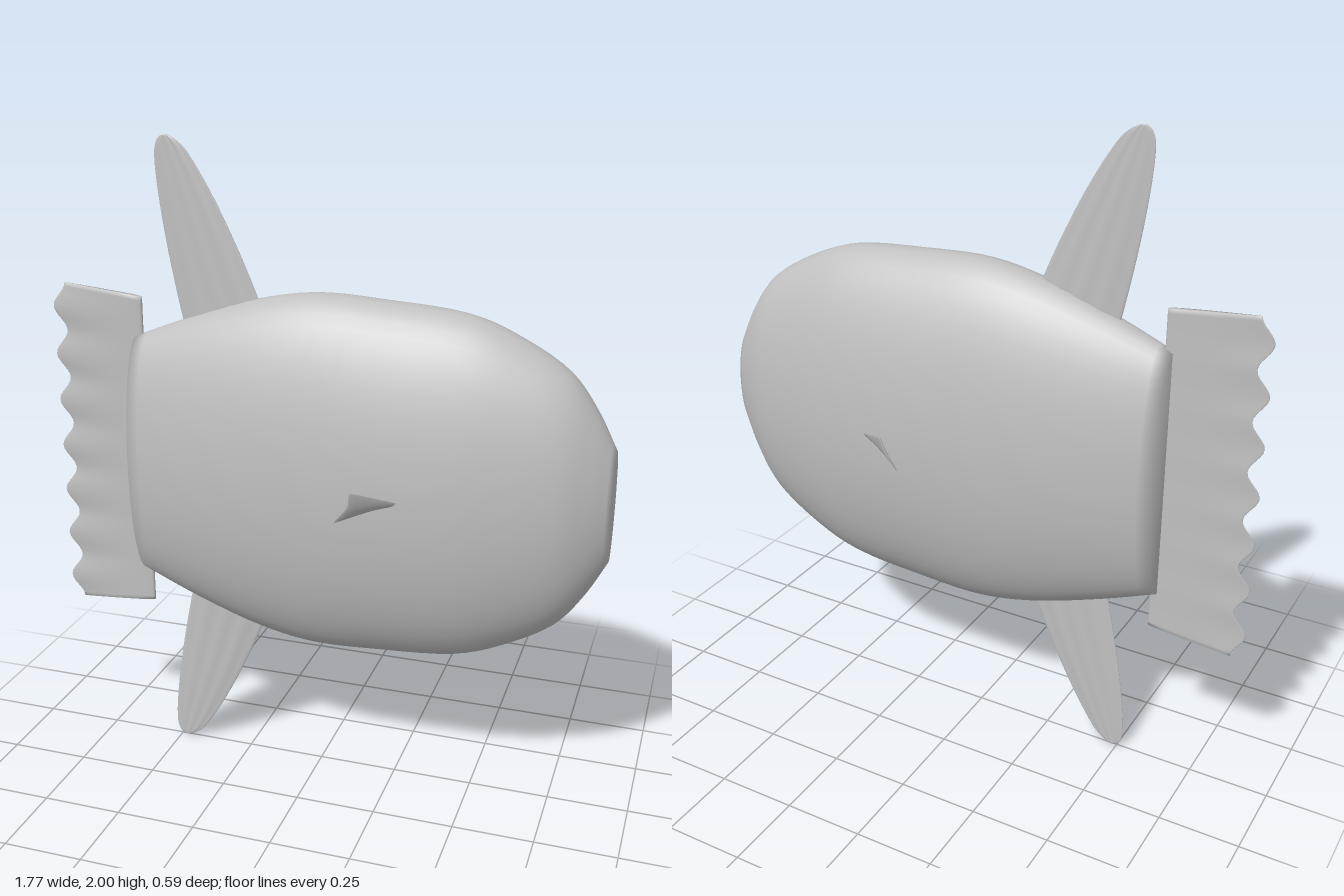
import * as THREE from 'three';

const grey = new THREE.MeshStandardMaterial({ color: 0xc0c0c0 });
grey.name = 'grey skin';

const RING = 48;

// Skins rows of closed rings; each ring runs counter-clockwise about the direction of travel.
function loft(name, rows, pointAt) {
  const pos = [], index = [];
  for (let r = 0; r < rows; r++) {
    for (let i = 0; i < RING; i++) pos.push(...pointAt(r, (i / RING) * Math.PI * 2));
  }
  for (let r = 0; r < rows - 1; r++) {
    for (let i = 0; i < RING; i++) {
      const j = (i + 1) % RING;
      const a = r * RING + i, b = r * RING + j;
      index.push(a, b, a + RING, b, b + RING, a + RING);
    }
  }
  // End caps share the rim vertices, so the shading rolls over the edge
  for (const r of [0, rows - 1]) {
    const base = r * RING, opposite = base + RING / 2, centre = pos.length / 3;
    for (let k = 0; k < 3; k++) pos.push((pos[base * 3 + k] + pos[opposite * 3 + k]) / 2);
    for (let i = 0; i < RING; i++) {
      const a = base + i, b = base + ((i + 1) % RING);
      if (r === 0) index.push(centre, b, a);
      else index.push(centre, a, b);
    }
  }
  const geo = new THREE.BufferGeometry();
  geo.setAttribute('position', new THREE.Float32BufferAttribute(pos, 3));
  geo.setIndex(index);
  geo.computeVertexNormals();
  const mesh = new THREE.Mesh(geo, grey);
  mesh.name = name;
  return mesh;
}

const curveOf = (points) =>
  new THREE.CatmullRomCurve3(points.map((p) => new THREE.Vector3(...p)));

// Body: ellipses along x, given as [x, half height, half width]
function makeBody() {
  const profile = curveOf([
    [-0.605, 0.39, 0.105], [-0.42, 0.463, 0.152], [-0.2, 0.535, 0.19], [-0.02, 0.566, 0.205],
    [0.2, 0.558, 0.214], [0.45, 0.533, 0.205], [0.6, 0.475, 0.182], [0.74, 0.388, 0.147],
    [0.82, 0.285, 0.105], [0.882, 0.17, 0.06],
  ]);
  const rows = 41;
  return loft('body', rows, (r, a) => {
    const p = profile.getPoint(r / (rows - 1));
    return [p.x, 1 + p.y * Math.cos(a), p.z * Math.sin(a)];
  });
}

// Tall fin: thin ribbed lens sections, given as [height, rear x, front x]
function makeTallFin(name) {
  const outline = curveOf([
    [0.4, -0.43, -0.15], [0.46, -0.445, -0.17], [0.54, -0.462, -0.2], [0.69, -0.49, -0.265],
    [0.83, -0.51, -0.335], [0.93, -0.518, -0.395], [0.97, -0.515, -0.425],
    [0.99, -0.506, -0.45], [1.0, -0.495, -0.47],
  ]);
  const rows = 33;
  return loft(name, rows, (r, a) => {
    const p = outline.getPoint(r / (rows - 1));
    const s = Math.sin(a);
    const thick = 0.014 - 0.01 * Math.max(0, (p.x - 0.45) / 0.55);
    const ribs = 0.85 + 0.15 * Math.cos(s * 12);
    return [(p.y + p.z) / 2 + ((p.z - p.y) / 2) * s, p.x, thick * ribs * Math.cos(a)];
  });
}

// Tail: upright slab that thins and ripples towards its scalloped rear edge
function makeTail() {
  const rows = 85;
  return loft('tailFin', rows, (r, a) => {
    const v = (r / (rows - 1)) * 2 - 1;
    const wave = Math.cos((v * 0.535 / 0.153) * Math.PI * 2);
    const rear = -0.864 - 0.02 * wave;
    const back = (1 - Math.sin(a)) / 2;
    const x = -0.58 + (rear + 0.58) * back;
    const c = Math.cos(a);
    const z = (0.012 - 0.009 * back) * Math.sign(c) * Math.abs(c) ** 0.5;
    return [x, 1.004 + v * (0.51 + 0.027 * back), z + 0.003 * wave * back * back];
  });
}

// Side fin: small cupped sheet flaring outward and back from a narrow root
function makeSideFin(name, side) {
  const root = curveOf([[0.325, 1.008, 0.188], [0.305, 1.005, 0.19], [0.265, 1.003, 0.19]]);
  const tip = curveOf([[0.178, 1.07, 0.296], [0.168, 1.018, 0.283], [0.128, 0.965, 0.284]]);
  const rows = 9;
  return loft(name, rows, (r, angle) => {
    const a = angle * side;
    const s = (1 - Math.sin(a)) / 2;
    const p = root.getPoint(s).lerp(tip.getPoint(s), r / (rows - 1));
    const d = 0.004 * Math.cos(a);
    return [p.x + d * 0.6, p.y, side * (p.z + d * 0.8)];
  });
}

export function createModel() {
  const model = new THREE.Group();
  model.name = 'fish';

  const topFin = makeTallFin('topFin');
  topFin.position.y = 1;
  const bottomFin = makeTallFin('bottomFin');
  bottomFin.position.y = 1;
  bottomFin.rotation.x = Math.PI;

  model.add(
    makeBody(), topFin, bottomFin, makeTail(),
    makeSideFin('nearSideFin', 1), makeSideFin('farSideFin', -1),
  );
  return model;
}
